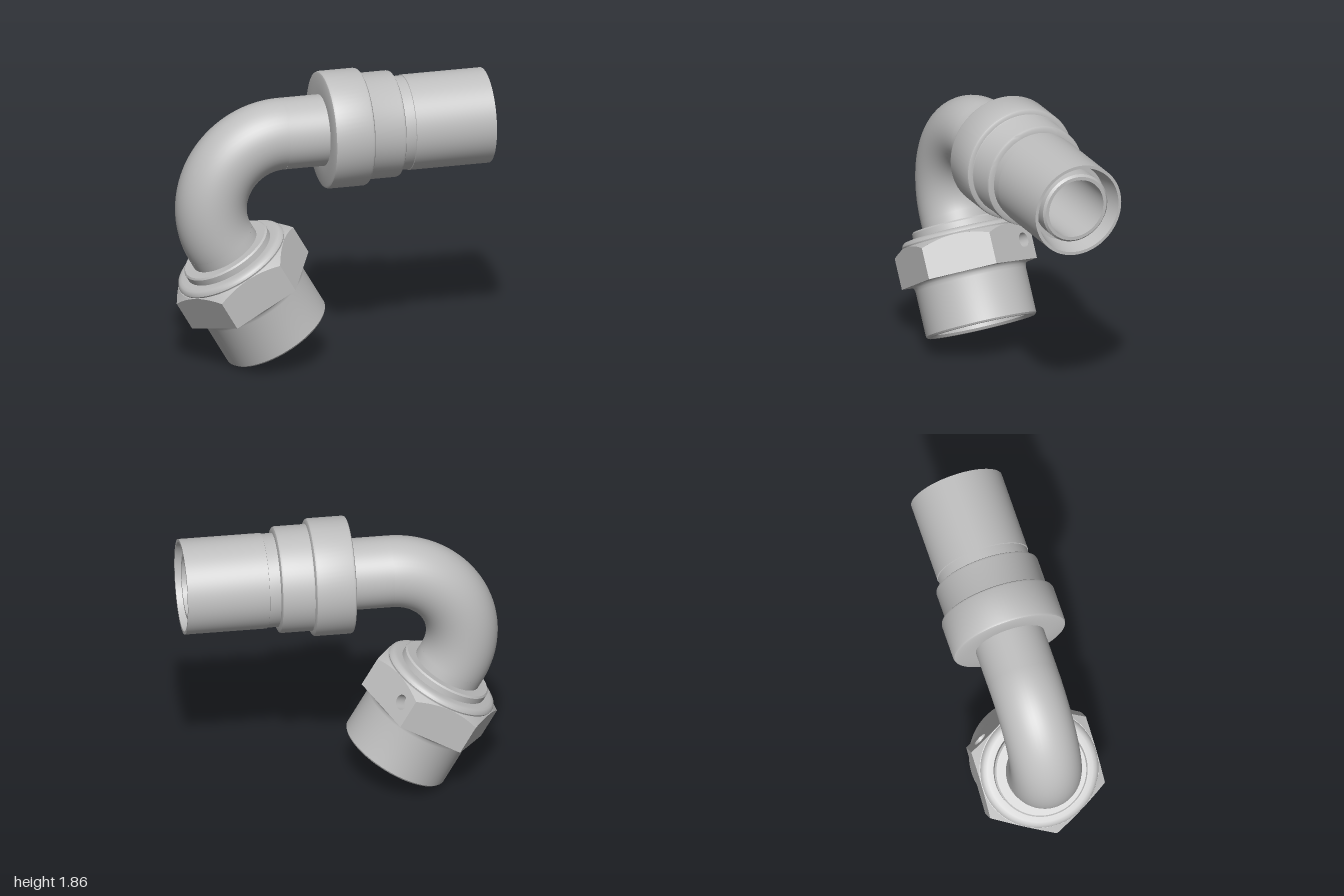
import * as THREE from 'three';
import { toCreasedNormals } from 'three/addons/utils/BufferGeometryUtils.js';

export function createModel() {
  const model = new THREE.Group();
  const steel = new THREE.MeshStandardMaterial({ color: 0xbfbfbf, side: THREE.DoubleSide });
  steel.name = 'brushed steel';

  const add = (parent, name, geometry) => {
    const mesh = new THREE.Mesh(geometry, steel);
    mesh.name = name;
    parent.add(mesh);
    return mesh;
  };
  // Turned part from [radius, distance along axis] pairs
  const turned = (pairs) => toCreasedNormals(
    new THREE.LatheGeometry(pairs.map(([r, t]) => new THREE.Vector2(r, t)), 72), 0.6);

  const BORE = 0.19, TUBE = 0.225, BEND = 0.455;
  const bendX = -0.32, axisY = 1.5;

  // Horizontal arm: local +y runs along world +x
  const arm = new THREE.Group();
  arm.name = 'hoseArm';
  arm.position.set(0, axisY, 0);
  arm.rotation.z = -Math.PI / 2;
  model.add(arm);

  add(arm, 'straightTube', turned([
    [TUBE, bendX], [TUBE, 0.955], [0.212, 0.97], [BORE, 0.97], [BORE, bendX],
  ]));
  add(arm, 'collarAndSleeve', turned([
    [TUBE, -0.06], [0.353, -0.06], [0.365, -0.055], [0.37, -0.043],
    [0.37, 0.178], [0.366, 0.19], [0.355, 0.197], [0.338, 0.199], [0.335, 0.205],
    [0.335, 0.39], [0.331, 0.402], [0.32, 0.408], [0.295, 0.41],
    [0.295, 0.48], [0.3, 0.482], [0.3, 1], [0.28, 1], [0.25, 0.85], [TUBE, 0.85],
  ]));

  // 120 degree bend, outside and bore
  const bend = new THREE.Group();
  bend.name = 'bend';
  bend.position.set(bendX, axisY - BEND, 0);
  bend.rotation.z = Math.PI / 2;
  model.add(bend);
  add(bend, 'bendOuter', new THREE.TorusGeometry(BEND, TUBE, 48, 64, Math.PI * 2 / 3));
  add(bend, 'bendBore', new THREE.TorusGeometry(BEND, BORE, 40, 64, Math.PI * 2 / 3));

  // Swivel nut end: local +y runs down the tilted axis
  const nut = new THREE.Group();
  nut.name = 'swivelNut';
  const end = Math.PI * 7 / 6;
  nut.position.set(bendX + BEND * Math.cos(end), axisY - BEND + BEND * Math.sin(end), 0);
  nut.rotation.z = -Math.PI * 5 / 6;
  model.add(nut);

  add(nut, 'tubeTail', turned([[TUBE, 0], [TUBE, 0.2]]));
  add(nut, 'tubeTailBore', turned([[BORE, 0.3], [BORE, 0]]));
  add(nut, 'retainingRing', turned([
    [TUBE, 0.06], [0.285, 0.06], [0.295, 0.07], [0.295, 0.11], [0.335, 0.11],
    [0.355, 0.114], [0.369, 0.125], [0.375, 0.14], [0.37, 0.154], [0.35, 0.165],
  ]));
  add(nut, 'threadedSkirt', turned([
    [0.376, 0.39], [0.365, 0.397], [0.357, 0.41], [0.354, 0.43], [0.354, 0.717],
    [0.345, 0.728], [0.315, 0.728], [0.3, 0.712], [0.3, 0.42], [0.27, 0.41],
    [0.25, 0.3], [BORE, 0.3],
  ]));

  // Hexagon with a coned upper edge
  const APOTHEM = 0.378, CORNER = APOTHEM / Math.cos(Math.PI / 6);
  const TOP = 0.15, BOTTOM = 0.39;
  const coneAt = (r) => TOP + 0.69 * (r - APOTHEM);

  const chamfer = new THREE.LatheGeometry(
    [new THREE.Vector2(0.33, TOP), new THREE.Vector2(APOTHEM, TOP), new THREE.Vector2(CORNER, BOTTOM)], 72);
  const pos = chamfer.attributes.position;
  for (let i = 2; i < pos.count; i += 3) {
    const a = Math.atan2(pos.getX(i), pos.getZ(i));
    const off = a - Math.round(a / (Math.PI / 3)) * (Math.PI / 3);
    const r = APOTHEM / Math.cos(off);
    pos.setXYZ(i, r * Math.sin(a), coneAt(r), r * Math.cos(a));
  }
  add(nut, 'hexChamfer', toCreasedNormals(chamfer, 0.4));

  const half = CORNER / 2;
  const hole = { u: -0.122, s: 0.267, r: 0.047, depth: 0.08 };
  for (let k = 0; k < 6; k++) {
    const face = new THREE.Shape();
    face.moveTo(-half, BOTTOM);
    face.lineTo(half, BOTTOM);
    for (let i = 0; i <= 12; i++) {
      const u = half - (i / 12) * 2 * half;
      face.lineTo(u, coneAt(Math.hypot(APOTHEM, u)));
    }
    if (k === 4) {
      face.holes.push(new THREE.Path().absarc(hole.u, hole.s, hole.r, 0, Math.PI * 2, true));
    }
    add(nut, 'hexFlat', new THREE.ShapeGeometry(face, 16)
      .translate(0, 0, APOTHEM).rotateY(k * Math.PI / 3));
  }
  // Blind wire hole in one flat
  add(nut, 'wireHoleWall', new THREE.CylinderGeometry(hole.r, hole.r, hole.depth, 32, 1, true)
    .rotateX(Math.PI / 2).translate(hole.u, hole.s, APOTHEM - hole.depth / 2).rotateY(4 * Math.PI / 3));
  add(nut, 'wireHoleFloor', new THREE.CircleGeometry(hole.r, 32)
    .translate(hole.u, hole.s, APOTHEM - hole.depth).rotateY(4 * Math.PI / 3));

  add(nut, 'hexUnderside', new THREE.RingGeometry(0.36, CORNER, 6, 1)
    .rotateX(-Math.PI / 2).translate(0, BOTTOM, 0));

  return model;
}
